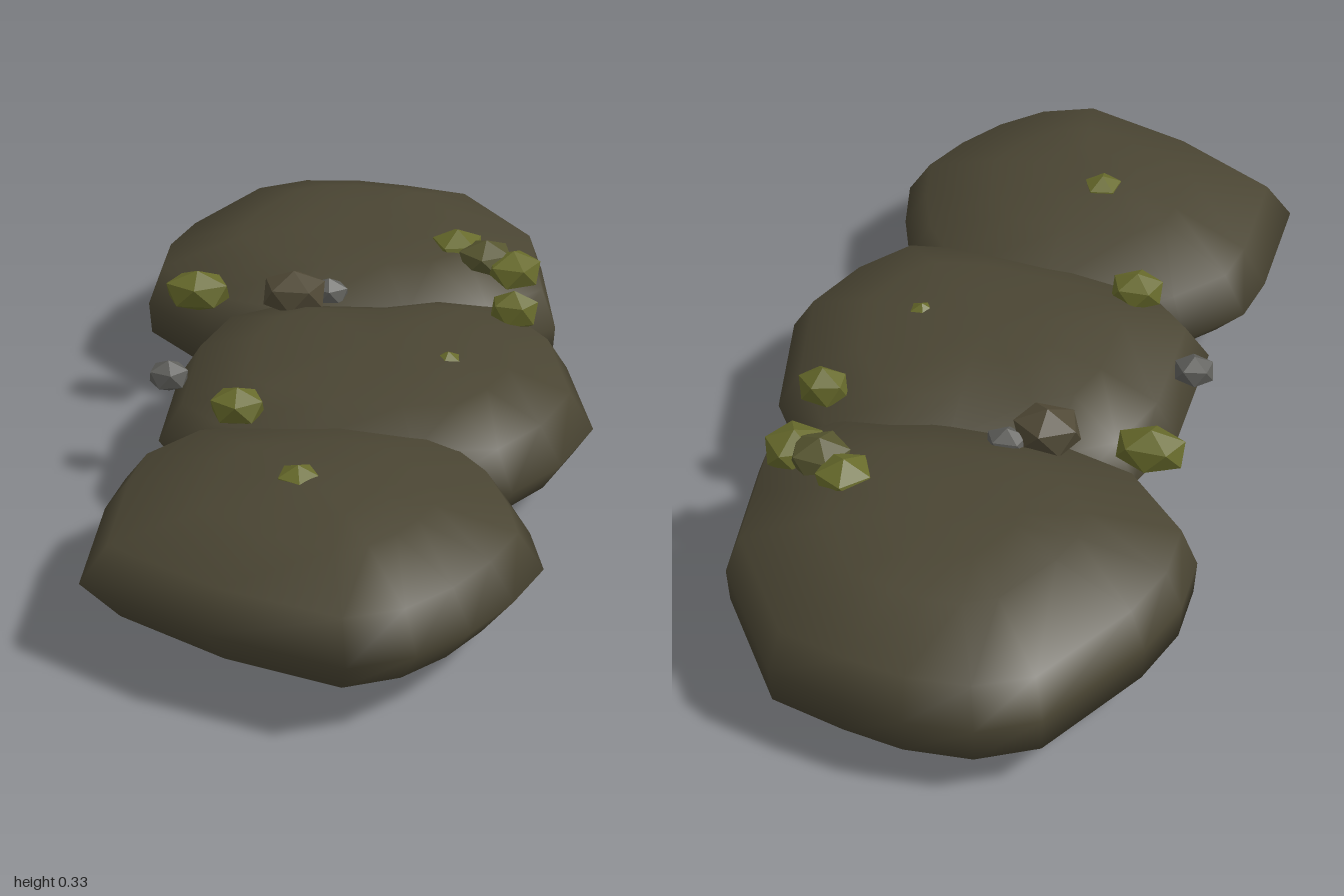
import * as THREE from 'three';

const paint = (name, color, flatShading = false) => {
  const m = new THREE.MeshStandardMaterial({ color, flatShading });
  m.name = name;
  return m;
};

// Rounded slab: an outline in x,z scaled ring by ring; profile rows are [scale, y], poles at both ends
function slabGeometry(center, outline, profile, bottomPole, topPole) {
  const pos = [...bottomPole], idx = [], n = outline.length, rows = profile.length;
  for (const [s, y] of profile)
    for (const [x, z] of outline)
      pos.push(center[0] + (x - center[0]) * s, y, center[1] + (z - center[1]) * s);
  pos.push(...topPole);
  const top = 1 + rows * n;
  for (let j = 0; j < n; j++) {
    const k = (j + 1) % n;
    idx.push(0, 1 + j, 1 + k);
    for (let r = 0; r < rows - 1; r++) {
      const a = 1 + r * n + j, b = 1 + r * n + k;
      idx.push(a, a + n, b, b, a + n, b + n);
    }
    idx.push(top, top - n + k, top - n + j);
  }
  const g = new THREE.BufferGeometry();
  g.setAttribute('position', new THREE.Float32BufferAttribute(pos, 3));
  g.setIndex(idx);
  g.computeVertexNormals();
  return g;
}

export function createModel() {
  const group = new THREE.Group();
  const earth = paint('earth brown', 0x4a4533);
  const moss = paint('moss green', 0x676a2b, true);
  const olive = paint('olive brown', 0x56552f, true);
  const umber = paint('umber', 0x504936, true);
  const grey = paint('pebble grey', 0x5f5f5b, true);

  // Three overlapping stepping stones; outlines run from +x towards +z
  const slabs = [
    ['backStone', [-0.05, -0.6],
      [[0.38, -0.55], [0.4, -0.4], [0.28, -0.28], [0.1, -0.23], [-0.15, -0.23], [-0.35, -0.29], [-0.49, -0.44],
        [-0.49, -0.57], [-0.45, -0.7], [-0.32, -0.93], [-0.21, -0.99], [-0.08, -1], [0.04, -0.98], [0.19, -0.94], [0.36, -0.7]],
      [[0.55, 0.03], [0.99, 0.09], [1, 0.16], [0.93, 0.243], [0.55, 0.296], [0.28, 0.306]],
      [-0.06, 0, -0.56], [-0.05, 0.31, -0.62]],
    ['middleStone', [0.05, 0],
      [[0.49, 0.07], [0.43, 0.23], [0.34, 0.35], [0.16, 0.38], [-0.08, 0.36], [-0.28, 0.29], [-0.37, 0.2],
        [-0.37, -0.09], [-0.32, -0.25], [-0.2, -0.33], [0.04, -0.34], [0.18, -0.39], [0.32, -0.36], [0.43, -0.2]],
      [[0.4, 0.036], [0.72, 0.06], [0.91, 0.103], [1, 0.165], [0.89, 0.24], [0.6, 0.28], [0.3, 0.296]],
      [0.05, 0.025, 0], [0.04, 0.3, 0]],
    ['frontStone', [0, 0.6],
      [[0.41, 0.63], [0.36, 0.75], [0.29, 0.86], [0.2, 0.95], [0.08, 1], [-0.18, 0.91], [-0.43, 0.76],
        [-0.43, 0.48], [-0.41, 0.36], [-0.31, 0.24], [0, 0.17], [0.22, 0.22], [0.33, 0.37], [0.38, 0.5]],
      [[0.55, 0.032], [0.84, 0.085], [1, 0.165], [0.88, 0.238], [0.5, 0.283], [0.25, 0.299]],
      [0, 0.028, 0.6], [-0.04, 0.305, 0.57]],
  ];
  for (const [name, ...shape] of slabs) {
    const mesh = new THREE.Mesh(slabGeometry(...shape), earth);
    mesh.name = name;
    group.add(mesh);
  }

  // Faceted moss clumps and pebbles: name, material, position, half sizes, turn
  const bits = [
    ['mossClump', moss, [-0.355, 0.276, -0.27], [0.076, 0.046, 0.055], 0.3],
    ['mossClump', moss, [0.18, 0.284, -0.52], [0.062, 0.045, 0.065], 1.1],
    ['mossClump', moss, [0.305, 0.272, -0.445], [0.065, 0.044, 0.068], 2.0],
    ['mossClump', moss, [0.315, 0.27, -0.245], [0.056, 0.046, 0.045], 0.7],
    ['mossClump', moss, [-0.205, 0.272, 0.24], [0.06, 0.04, 0.054], 1.6],
    ['mossClump', moss, [-0.05, 0.288, 0.56], [0.045, 0.034, 0.048], 0.5],
    ['mossClump', moss, [0.195, 0.275, 0.03], [0.036, 0.03, 0.036], 1.3],
    ['olivePebble', olive, [0.245, 0.284, -0.47], [0.066, 0.044, 0.064], 0.2],
    ['umberPebble', umber, [-0.15, 0.28, -0.27], [0.074, 0.05, 0.066], 0.9],
    ['greyPebble', grey, [-0.08, 0.263, -0.31], [0.046, 0.035, 0.036], 0.4],
    ['greyPebble', grey, [-0.37, 0.235, 0.05], [0.045, 0.034, 0.04], 1.8],
  ];
  const chunk = new THREE.IcosahedronGeometry(1, 0);
  // Stand each chunk on a vertex so that it ends in a point
  chunk.rotateZ(Math.atan(2 / (1 + Math.sqrt(5))));
  for (const [name, material, p, s, turn] of bits) {
    const mesh = new THREE.Mesh(chunk.clone().rotateY(turn), material);
    mesh.name = name;
    mesh.position.set(...p);
    mesh.scale.set(...s);
    group.add(mesh);
  }
  return group;
}
